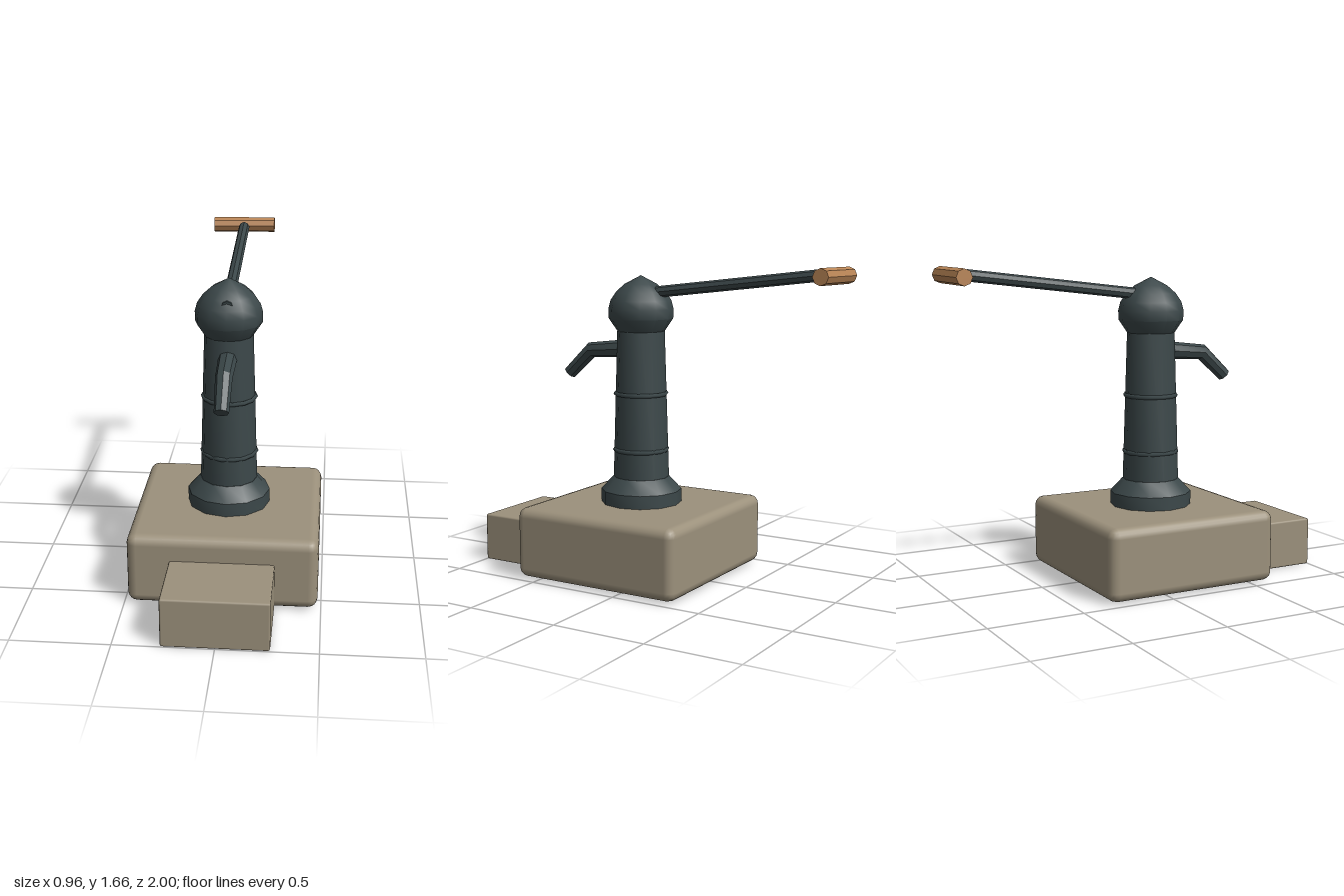
import * as THREE from 'three';
import { toCreasedNormals } from 'three/addons/utils/BufferGeometryUtils.js';
import { RoundedBoxGeometry } from 'three/addons/geometries/RoundedBoxGeometry.js';

export function createModel() {
  const model = new THREE.Group();
  model.name = 'handPump';

  const material = (name, color, flatShading = false) => {
    const m = new THREE.MeshStandardMaterial({ color, flatShading });
    m.name = name;
    return m;
  };
  const iron = material('dark iron', 0x3c484a);
  const stone = material('stone', 0x9c917c);
  const wood = material('wood', 0xb98556);

  const add = (name, geometry, mat, x = 0, y = 0, z = 0) => {
    const mesh = new THREE.Mesh(geometry, mat);
    mesh.name = name;
    mesh.position.set(x, y, z);
    model.add(mesh);
    return mesh;
  };

  // Stone plinth and the lower block in front of it
  add('plinth', new RoundedBoxGeometry(0.965, 0.375, 0.96, 2, 0.05), stone, 0, 0.1975, 0.14);
  add('frontBlock', new RoundedBoxGeometry(0.53, 0.258, 0.39, 1, 0.01), stone, 0, 0.13, 0.805);

  // Turned iron parts share one vertical axis
  const axisZ = 0.14;
  const turned = (name, profile, sides = 12) => {
    const points = profile.map(([r, y]) => new THREE.Vector2(r, y));
    add(name, toCreasedNormals(new THREE.LatheGeometry(points, sides), 0.6), iron, -0.002, 0, axisZ);
  };
  turned('foot', [[0, 0.375], [0.215, 0.375], [0.215, 0.455], [0.15, 0.525], [0, 0.525]]);
  turned('barrel', [[0.149, 0.5], [0.125, 1.32]]);
  turned('head', [[0.12, 1.295], [0.17, 1.37], [0.172, 1.42], [0.16, 1.465], [0.13, 1.51], [0.085, 1.55], [0, 1.595]]);

  // Thin bands around the barrel
  for (const [name, y, r] of [['lowerBand', 0.672, 0.14], ['upperBand', 0.973, 0.135]]) {
    const band = add(name, new THREE.TorusGeometry(r, 0.012, 5, 14), iron, 0, y, axisZ);
    band.rotation.x = Math.PI / 2;
  }

  // Bent, tapering spout: each ring of a cylinder is set on a point of the path
  const path = [
    { y: 1.208, z: 0.2, r: 0.049, tilt: 0.06 },
    { y: 1.186, z: 0.455, r: 0.043, tilt: 0.45 },
    { y: 1.055, z: 0.597, r: 0.037, tilt: 0.78 },
  ];
  const spout = new THREE.CylinderGeometry(1, 1, 2, 8, 2);
  const pos = spout.attributes.position;
  for (let i = 0; i < pos.count; i++) {
    const p = path[Math.round(pos.getY(i)) + 1];
    const side = pos.getX(i) * p.r;
    const up = -pos.getZ(i) * p.r;
    pos.setXYZ(i, side, p.y + up * Math.cos(p.tilt), p.z + up * Math.sin(p.tilt));
  }
  add('spout', toCreasedNormals(spout, 0.5), iron);

  // Straight rod between two points
  const rod = (name, a, b, r, mat) => {
    const along = b.clone().sub(a);
    const geometry = toCreasedNormals(new THREE.CylinderGeometry(r, r, along.length(), 8), 0.5);
    const mesh = add(name, geometry, mat);
    mesh.position.copy(a).add(b).multiplyScalar(0.5);
    mesh.quaternion.setFromUnitVectors(new THREE.Vector3(0, 1, 0), along.normalize());
  };
  rod('lever', new THREE.Vector3(0, 1.483, 0.275), new THREE.Vector3(0, 1.617, -0.882), 0.03, iron);
  rod('grip', new THREE.Vector3(-0.175, 1.613, -0.957), new THREE.Vector3(0.17, 1.617, -0.957), 0.042, wood);

  return model;
}
